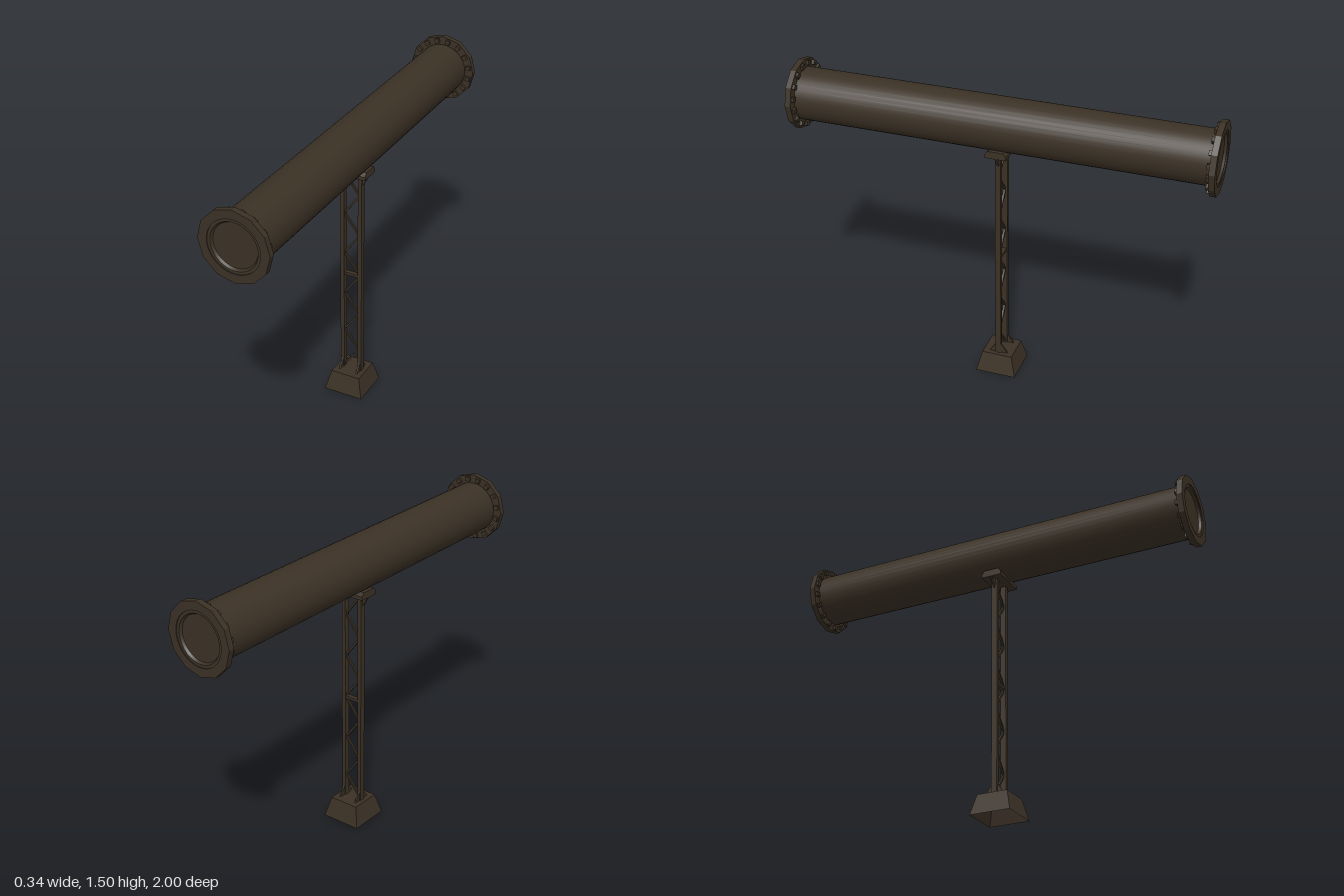
import * as THREE from 'three';
import { toCreasedNormals } from 'three/addons/utils/BufferGeometryUtils.js';

export function createModel() {
  const model = new THREE.Group();
  model.name = 'pipeOnSupport';
  const bronze = new THREE.MeshStandardMaterial({ color: 0x3b3125, side: THREE.DoubleSide });
  bronze.name = 'dark brown metal';

  const add = (name, geometry, parent = model) => {
    const mesh = new THREE.Mesh(geometry, bronze);
    mesh.name = name;
    parent.add(mesh);
    return mesh;
  };
  const box = (name, w, h, d, x, y, z, parent) => {
    const mesh = add(name, new THREE.BoxGeometry(w, h, d), parent);
    mesh.position.set(x, y, z);
    return mesh;
  };
  // Flat outline extruded and centred on its depth
  const plate = (name, points, depth) => {
    const shape = new THREE.Shape(points.map(([x, y]) => new THREE.Vector2(x, y)));
    const geometry = new THREE.ExtrudeGeometry(shape, { depth, bevelEnabled: false });
    geometry.translate(0, 0, -depth / 2);
    return add(name, geometry);
  };

  // Pipe with a raised rim around each recessed end
  const pipeY = 1.327, pipeR = 0.125;
  const half = [[0, 0.984], [0.104, 0.984], [0.111, 0.996], [pipeR, 0.996]];
  const profile = [
    ...half.map(([r, z]) => new THREE.Vector2(r, -z)),
    ...half.slice().reverse().map(([r, z]) => new THREE.Vector2(r, z)),
  ];
  const pipeGeometry = toCreasedNormals(new THREE.LatheGeometry(profile, 36), 0.5);
  pipeGeometry.rotateX(Math.PI / 2);
  add('pipe', pipeGeometry).position.y = pipeY;

  // Twelve-sided end flanges with a ring of bolts behind each
  const flangeShape = new THREE.Shape();
  for (let i = 0; i < 12; i++) {
    const a = (i / 12) * Math.PI * 2;
    flangeShape[i ? 'lineTo' : 'moveTo'](0.168 * Math.cos(a), 0.168 * Math.sin(a));
  }
  flangeShape.closePath();
  const hole = new THREE.Path();
  hole.absarc(0, 0, pipeR - 0.001, 0, Math.PI * 2, true);
  flangeShape.holes.push(hole);
  const flangeGeometry = new THREE.ExtrudeGeometry(flangeShape, {
    depth: 0.028, bevelEnabled: false, curveSegments: 36,
  });
  for (const side of [1, -1]) {
    const end = new THREE.Group();
    end.name = side > 0 ? 'frontFlange' : 'backFlange';
    end.position.y = pipeY;
    end.rotation.y = side > 0 ? 0 : Math.PI;
    add('flangeRing', flangeGeometry, end).position.z = 0.972;
    for (let i = 0; i < 16; i++) {
      const a = ((i + 0.5) / 16) * Math.PI * 2;
      const bolt = box('bolt', 0.022, 0.022, 0.014, 0.146 * Math.cos(a), 0.146 * Math.sin(a), 0.966, end);
      bolt.rotation.z = a;
    }
    model.add(end);
  }

  // Tapered footing, open underneath
  const footing = new THREE.CylinderGeometry(0.075 * Math.SQRT2, 0.1 * Math.SQRT2, 0.1, 4, 1, true).toNonIndexed();
  footing.rotateY(Math.PI / 4);
  footing.computeVertexNormals();
  add('footing', footing).position.y = 0.05;
  const top = add('footingTop', new THREE.PlaneGeometry(0.15, 0.15));
  top.rotation.x = -Math.PI / 2;
  top.position.y = 0.1;

  // Posts with foot and head gussets
  for (const s of [1, -1]) {
    box('post', 0.02, 1.095, 0.028, s * 0.046, 0.6475, 0);
    const foot = plate('footGusset', [[-0.045, 0.1], [0.045, 0.1], [0.012, 0.15], [-0.012, 0.15]], 0.008);
    foot.rotation.y = Math.PI / 2;
    foot.position.x = s * 0.046;
    const head = plate('headGusset', [[0.05, 1.14], [0.058, 1.14], [0.088, 1.192], [0.05, 1.192]], 0.01);
    head.rotation.y = s > 0 ? 0 : Math.PI;
  }

  // Zigzag lacing and middle crossbar
  const lace = (ys, startSide) => {
    for (let i = 0; i < ys.length - 1; i++) {
      const x = startSide * (i % 2 ? -1 : 1) * 0.04;
      const dx = -2 * x, dy = ys[i + 1] - ys[i];
      const bar = box('lacingBar', Math.hypot(dx, dy), 0.009, 0.01, 0, (ys[i] + ys[i + 1]) / 2, 0);
      bar.rotation.z = Math.atan2(dy, dx);
    }
  };
  lace([0.11, 0.215, 0.322, 0.427, 0.533, 0.638], -1);
  lace([0.652, 0.757, 0.865, 0.97, 1.077, 1.18], 1);
  box('crossbar', 0.08, 0.014, 0.022, 0, 0.645, 0);

  // Chamfered saddle under the pipe
  const saddle = plate('saddle', [
    [-0.05, 1.19], [0.05, 1.19], [0.05, 1.208], [0.036, 1.225], [-0.036, 1.225], [-0.05, 1.208],
  ], 0.18);
  saddle.rotation.y = Math.PI / 2;

  return model;
}
